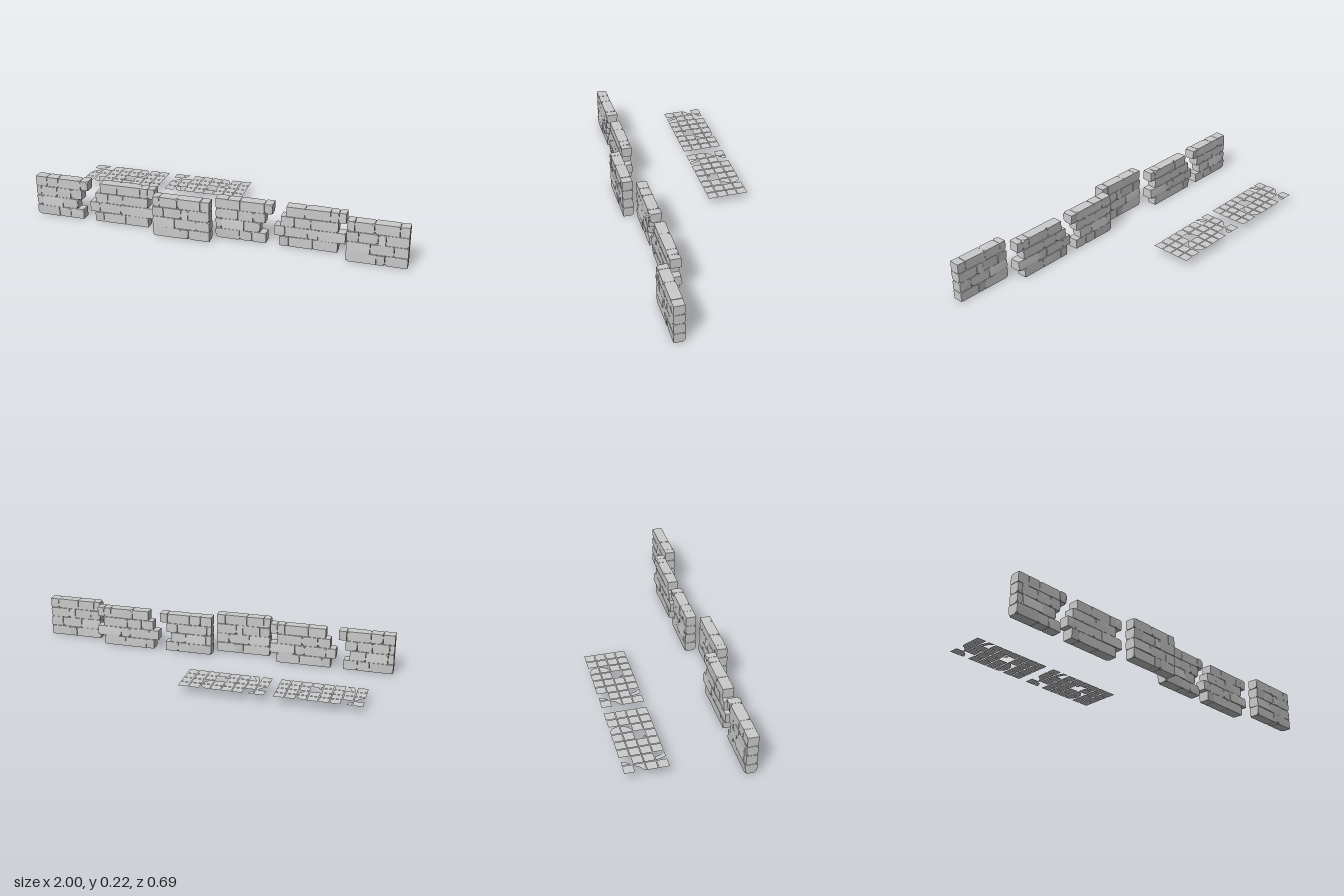
import * as THREE from 'three';
import { ConvexGeometry } from 'three/addons/geometries/ConvexGeometry.js';

const stone = new THREE.MeshStandardMaterial({ color: 0xcccccc, flatShading: true });
const paving = new THREE.MeshStandardMaterial({ color: 0xcccccc, flatShading: true, side: THREE.DoubleSide });

// Small seeded generator for the hewn irregularities
let seed = 7;
function rnd() {
  seed = (seed * 16807) % 2147483647;
  return seed / 2147483647;
}

const ROW = 0.055;   // course height
const HALF = 0.029;  // half wall thickness

// Rough hewn block: slightly skewed box with some back and front corners cut off
function brick(x0, x1, y0, y1) {
  const pts = [];
  const bulge = rnd() < 0.25 ? 0.004 : 0;
  const low = rnd() < 0.5 ? -1 : 1;
  for (const sx of [-1, 1]) for (const sy of [-1, 1]) for (const sz of [-1, 1]) {
    const x = sx < 0 ? x0 : x1;
    const y = sy < 0 ? y0 : y1 - rnd() * 0.002;
    const z = sz * (HALF + (sy === low ? bulge : 0) - rnd() * 0.002);
    const cut = rnd() < 0.45 ? 0.006 + rnd() * 0.008 : 0.002;
    const cx = Math.min(cut, (x1 - x0) * 0.4);
    pts.push(
      new THREE.Vector3(x - sx * cx, y, z),
      new THREE.Vector3(x, y - sy * cut, z),
      new THREE.Vector3(x, y, z - sz * cut));
  }
  return new THREE.Mesh(new ConvexGeometry(pts), stone);
}

// Wall sections; each course lists its joints in thousandths, bottom course first
const sections = [
  { name: 'wallRightEnd', x: -1, z: 0.24, courses: [
    [0, 128, 193, 268], [0, 32, 150, 236], [0, 27, 118, 198, 262], [0, 64, 128, 257, 300]] },
  { name: 'wallMiddle', x: -0.69, z: 0.24, courses: [
    [27, 75, 198, 326], [0, 54, 171, 225, 364], [32, 102, 187, 326], [59, 155, 284, 326, 364]] },
  { name: 'wallLeftEnd', x: -0.311, z: 0.312, courses: [
    [0, 150, 193, 305], [0, 118, 235, 305], [0, 59, 155, 193, 305], [0, 38, 134, 257, 305]] },
];

function wallSection({ name, x, z, courses }) {
  const wall = new THREE.Group();
  wall.name = name;
  courses.forEach((joints, row) => {
    for (let i = 0; i < joints.length - 1; i++) {
      const block = brick(joints[i] / 1000 + 0.0008, joints[i + 1] / 1000 - 0.0008,
        row * ROW, (row + 1) * ROW - 0.0008);
      block.name = 'stoneBlock';
      wall.add(block);
    }
  });
  wall.position.set(x, 0, z);
  return wall;
}

// Tile outlines in a unit cell, x to the right and second value towards the front
const outlines = {
  F: [[0, 0], [1, 0], [1, 1], [0, 1]],
  a: [[0, 0], [0.5, 0.05], [0.35, 0.5], [0, 0.85]],            // broken sliver
  b: [[0, 0], [0.5, 0.05], [0.85, 0.35], [1, 0.85], [1, 1], [0, 1]], // rounded corner
  c: [[0.8, 0], [1, 0], [1, 1], [0, 1], [0.1, 0.8], [0.6, 0.4]],     // broken left side
  d: [[0, 0], [1, 0], [0.85, 0.5], [0.4, 1], [0, 1]],           // broken right side
  e: [[0, 0], [0.4, 0], [0.6, 0.6], [0.95, 1], [0.3, 1], [0.1, 0.5]], // slanted shard
  g: [[0, 0], [0.55, 0], [0.4, 0.3], [0.6, 0.55], [0.4, 0.75], [0.55, 1], [0, 1]], // cracked half
  h: [[0, 0.6], [0.3, 0.8], [0.3, 1], [0, 1]],                  // hole crumb
};
const floorPlan = ['FaFFFbFF', 'cFFFFdFF', 'FFFFhFFF', 'FeFFFFFF'];

function paved() {
  const floor = new THREE.Group();
  floor.name = 'pavedFloor';
  const px = 0.0562, pz = 0.0553, size = 0.052;
  const tile = (key, col, row) => {
    const shape = new THREE.Shape(outlines[key].map(([u, v]) => new THREE.Vector2(u * size, -v * size)));
    const mesh = new THREE.Mesh(new THREE.ShapeGeometry(shape), paving);
    mesh.rotation.x = -Math.PI / 2;
    mesh.position.set(col * px, 0, row * pz);
    mesh.name = 'pavingTile';
    floor.add(mesh);
  };
  floorPlan.forEach((line, row) => [...line].forEach((key, col) => tile(key, col, row)));
  floor.position.set(-0.91, 0.049, -0.346);
  return floor;
}

export function createModel() {
  seed = 7;
  const model = new THREE.Group();
  model.name = 'ruinedWalls';

  // Two identical runs of wall, side by side
  for (const section of sections) {
    const wall = wallSection(section);
    const copy = wall.clone();
    copy.position.x += 1.006;
    model.add(wall, copy);
  }

  // Two identical broken floors behind the walls
  const floor = paved();
  const floorCopy = floor.clone();
  floorCopy.position.x += 0.492;
  model.add(floor, floorCopy);
  return model;
}
